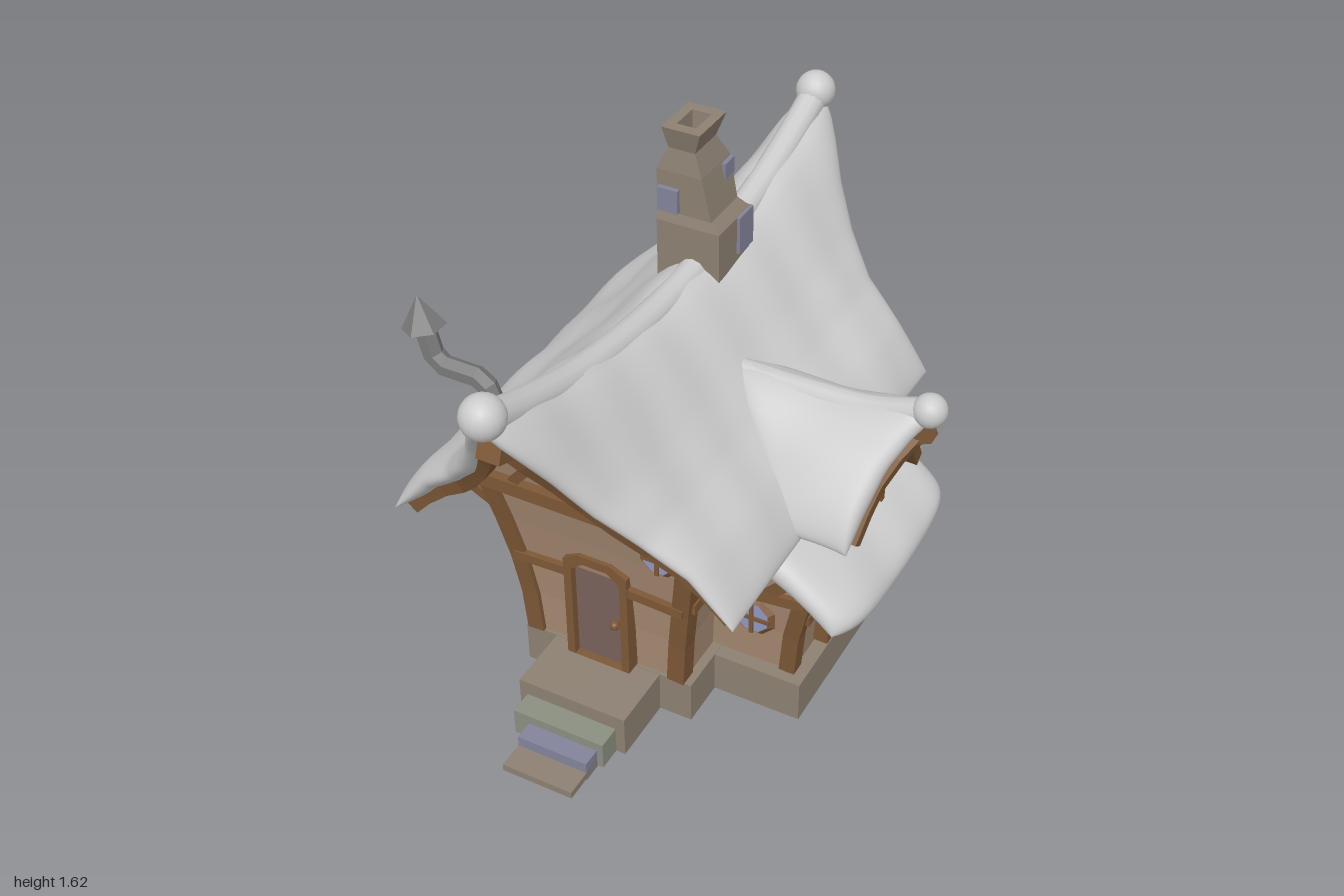
import * as THREE from 'three';
import { mergeVertices } from 'three/addons/utils/BufferGeometryUtils.js';

const V = (x, y, z) => new THREE.Vector3(x, y, z);
const mat = (color, flatShading = true) => new THREE.MeshStandardMaterial({ color, flatShading });
const SNOW = mat(0xcccccc, false), WOOD = mat(0x7d5836), WALL = mat(0xa58a72), STONE = mat(0x8c8072),
  DOOR = mat(0x79615a), GLASS = mat(0x8c98c8), BLUE = mat(0x83849a), MOSS = mat(0x8b8f80), METAL = mat(0x7a7a7a);
const CX = -0.125; // centre line of the main house

function add(parent, name, geo, material) {
  const m = new THREE.Mesh(geo, material);
  m.name = name;
  parent.add(m);
  return m;
}

// linear lookup of one column in a table of rows
function at(rows, v, col) {
  let i = 1;
  while (i < rows.length - 1 && rows[i][0] < v) i++;
  const a = rows[i - 1], b = rows[i];
  const k = THREE.MathUtils.clamp((v - a[0]) / (b[0] - a[0]), 0, 1);
  return a[col] + (b[col] - a[col]) * k;
}

// faceted solid through closed rings, with flat caps
function loft(rings) {
  const p = [], n = rings[0].length, tri = (a, b, c) => p.push(...a, ...b, ...c);
  for (let r = 1; r < rings.length; r++) for (let i = 0; i < n; i++) {
    const a = rings[r - 1], b = rings[r], j = (i + 1) % n;
    tri(a[i], a[j], b[j]);
    tri(a[i], b[j], b[i]);
  }
  const s = rings[0], e = rings[rings.length - 1];
  for (let i = 1; i < n - 1; i++) {
    tri(s[0], s[i + 1], s[i]);
    tri(e[0], e[i], e[i + 1]);
  }
  const g = new THREE.BufferGeometry();
  g.setAttribute('position', new THREE.Float32BufferAttribute(p, 3));
  g.computeVertexNormals();
  return g;
}
const rect = (y, x0, x1, z0, z1) => [V(x0, y, z1), V(x1, y, z1), V(x1, y, z0), V(x0, y, z0)];

// ring frames along a path; n is the side the section faces
function sweep(pts, n, section) {
  return loft(pts.map((p, i) => {
    const t = pts[Math.min(i + 1, pts.length - 1)].clone().sub(pts[Math.max(i - 1, 0)]).normalize();
    const s = n.clone().cross(t).normalize(), m = t.clone().cross(s);
    return section.map(([a, b]) => p.clone().addScaledVector(s, a).addScaledVector(m, b));
  }));
}
function beam(parent, name, pts, n, w = 0.04, d = 0.045) {
  return add(parent, name, sweep(pts, n, [[-w / 2, -d / 2], [w / 2, -d / 2], [w / 2, d / 2], [-w / 2, d / 2]]), WOOD);
}
function box(parent, name, x0, x1, y0, y1, z0, z1, m) {
  add(parent, name, new THREE.BoxGeometry(x1 - x0, y1 - y0, z1 - z0), m)
    .position.set((x0 + x1) / 2, (y0 + y1) / 2, (z0 + z1) / 2);
}

// soft snow slab around the surface f(u, t), rounded off at its edges
function slab(f, th, n = 44, bump = 0.007) {
  const pos = [], idx = [], N = n + 1, e = 0.01;
  for (const side of [1, -1]) for (let j = 0; j <= n; j++) for (let i = 0; i <= n; i++) {
    const u = Math.sin((i / n - 0.5) * Math.PI), t = Math.sin((j / n - 0.5) * Math.PI);
    const du = f(Math.min(u + e, 1), t).sub(f(Math.max(u - e, -1), t));
    const dt = f(u, Math.min(t + e, 1)).sub(f(u, Math.max(t - e, -1)));
    const p = f(u, t), lump = bump * Math.sin(17 * p.z + 5 * p.x) * Math.sin(13 * p.x - 6 * p.z);
    const h = (th + lump) * Math.sqrt(Math.max(0, (1 - u ** 8) * (1 - t ** 10)));
    p.addScaledVector(du.cross(dt).normalize(), side * h);
    pos.push(p.x, p.y, p.z);
    if (i === n || j === n) continue;
    const a = (side < 0 ? N * N : 0) + j * N + i, b = a + 1, c = b + N, d = a + N;
    idx.push(...(side > 0 ? [a, b, c, a, c, d] : [a, c, b, a, d, c]));
  }
  let g = new THREE.BufferGeometry();
  g.setAttribute('position', new THREE.Float32BufferAttribute(pos, 3));
  g.setIndex(idx);
  g = mergeVertices(g, 1e-5);
  g.computeVertexNormals();
  return g;
}

// windows, built facing +z
function gridWindow(parent, name, w, h, cols, rows, pos, ry) {
  const g = new THREE.Group(), b = 0.022;
  g.name = name;
  box(g, 'glass', -w / 2, w / 2, -h / 2, h / 2, -0.02, 0.01, GLASS);
  for (let i = 0; i <= cols; i++) {
    const x = (i / cols - 0.5) * w, k = i % cols ? 0.005 : b / 2;
    box(g, 'upright', x - k, x + k, -h / 2 - b / 2, h / 2 + b / 2, -0.02, i % cols ? 0.016 : 0.025, WOOD);
  }
  for (let i = 0; i <= rows; i++) {
    const y = (i / rows - 0.5) * h, k = i % rows ? 0.005 : b / 2;
    box(g, 'crossbar', -w / 2, w / 2, y - k, y + k, -0.02, i % rows ? 0.016 : 0.025, WOOD);
  }
  g.position.copy(pos);
  g.rotation.y = ry;
  parent.add(g);
}
function octagonWindow(parent, r, pos, ry) {
  const g = new THREE.Group();
  g.name = 'octagonWindow';
  add(g, 'glass', new THREE.CylinderGeometry(r, r, 0.03, 8).rotateY(Math.PI / 8).rotateX(Math.PI / 2), GLASS);
  add(g, 'frame', new THREE.TorusGeometry(r, 0.017, 4, 8).rotateZ(Math.PI / 8), WOOD);
  box(g, 'upright', -0.006, 0.006, -r, r, 0, 0.022, WOOD);
  box(g, 'crossbar', -r, r, -0.006, 0.006, 0, 0.022, WOOD);
  g.position.copy(pos);
  g.rotation.y = ry;
  parent.add(g);
}

// main house rows: height, half width, front depth
const BODY = [[.15, .26, .42], [.3, .27, .425], [.45, .29, .44], [.6, .315, .465], [.77, .345, .5], [.85, .28, .52],
  [.95, .205, .54], [1.05, .13, .555], [1.13, .06, .57], [1.19, .01, .575]];
// wing and dormer rows: height, half width in z, outer x
const WING = [[.15, .255, .4], [.3, .265, .415], [.45, .285, .45], [.6, .3, .455]];
const DORMER = [[.48, .14, .455], [.57, .155, .47], [.77, .185, .5], [.86, .12, .51], [.95, .05, .52], [1, .01, .53]];
// roof rows: distance from ridge, reach of rim, height inside, height at rim
const ROOF = [[0, .97, 1.17, 1.385], [.06, .93, 1.13, 1.3], [.13, .84, 1.06, 1.16], [.2, .78, .985, 1.04],
  [.3, .71, .89, .92], [.42, .67, .8, .82], [.54, .655, .685, .675]];
const CAP = [[0, .69, .985, 1.05], [.06, .64, .95, .98], [.12, .6, .89, .9], [.2, .575, .79, .79], [.27, .56, .7, .69]];

function roofAt(u, t) {
  const s = Math.abs(u) * 0.54, y = at(ROOF, s, 2);
  return V(CX + u * 0.54, y + (at(ROOF, s, 3) - y) * t * t, -t * at(ROOF, s, 1));
}
function capAt(u, t) {
  const s = Math.abs(u) * 0.27, k = (t + 1) / 2, x0 = 0.04 + 1.25 * s, y = at(CAP, s, 2);
  return V(x0 + (at(CAP, s, 1) - x0) * k, y + (at(CAP, s, 3) - y) * Math.max(0, t) ** 2, -0.01 + u * 0.27);
}
function ledgeAt(u, t) {
  const k = (t + 1) / 2;
  return V(0.2 + k * 0.42 - 0.05 * k * u ** 6, 0.69 - 0.07 * k - 0.15 * k * k - 0.03 * Math.cos(u * Math.PI / 2), -0.01 + u * 0.365);
}
const wallPoint = (x, y, sg, off = 0) => V(x, y, sg * (at(BODY, y, 2) + off));

function ridgeRoll(parent, name, pts, r, endR, ends) {
  add(parent, name, new THREE.TubeGeometry(new THREE.CatmullRomCurve3(pts), 40, r, 12), SNOW);
  for (const p of ends) add(parent, name + 'End', new THREE.SphereGeometry(endR, 18, 12), SNOW).position.copy(p);
}

export function createModel() {
  const house = new THREE.Group();
  house.name = 'cottage';

  // foundation and steps
  box(house, 'foundation', -.4, .165, .01, .15, -.46, .43, STONE);
  box(house, 'wingFoundation', .1, .445, .01, .149, -.32, .28, STONE);
  box(house, 'landing', -.295, .06, .01, .148, .4, .64, STONE);
  box(house, 'upperStep', -.27, .03, .01, .1, .6, .715, MOSS);
  box(house, 'middleStep', -.22, .01, .005, .07, .65, .775, BLUE);
  box(house, 'lowerStep', -.22, .01, .012, .035, .7, .86, STONE);

  // walls
  add(house, 'mainWalls', loft(BODY.map(([y, w, z]) => rect(y, CX - w, CX + w, -z, z))), WALL);
  add(house, 'wingWalls', loft(WING.map(([y, w, x]) => rect(y, .05, x, -.02 - w, -.02 + w))), WALL);
  add(house, 'dormerWalls', loft(DORMER.map(([y, w, x]) => rect(y, .12, x, -.01 - w, -.01 + w))), WALL);

  // timber of the two gable ends
  for (const sg of [1, -1]) {
    const n = V(0, 0, sg), line = (name, pts, w, d) => beam(house, name, pts.map(([x, y]) => wallPoint(CX + x, y, sg)), n, w, d);
    line('gableBeam', [[-.39, .78], [.39, .78]], .045, .07);
    line('collarBeam', [[-.2, .92], [.2, .92]], .035);
    line('upperCollar', [[-.1, 1.085], [.1, 1.085]], .03);
    gridWindow(house, 'gableWindow', .09, .11, 2, 2, wallPoint(CX - .01, 1, sg, .005), sg > 0 ? 0 : Math.PI);
    for (const m of [1, -1]) {
      beam(house, 'cornerPost', BODY.slice(0, 5).map(([y, w, z]) => V(CX + m * (w - .02), y, sg * (z - .015))), n, .055, .06);
      line('gableBrace', [[m * .22, .8], [m * .13, .91]], .03);
      line('gableStud', [[m * .075, .92], [m * .075, 1.08]], .025);
      line('middleRail', sg > 0 ? [[m * .1, .465], [m * .28, .455]] : [[m * .28, .42], [0, .43]], .03);
      beam(house, 'bargeBoard', [0, .1, .2, .3, .42, .55, .7, .85, .95].map(u => {
        const p = roofAt(m * u, -sg * .9);
        return p.setY(p.y - .075 + .03 * u);
      }), n, .05, .045);
      beam(house, 'eaveStrut', [V(CX + m * .32, .65, sg * .47), V(CX + m * .45, .76, sg * .5)], n, .03, .03);
    }
    beam(house, 'ridgeBeam', [.4, .6, .8, .95].map(t => roofAt(0, -sg * t).add(V(0, -.085, 0))), V(0, 1, 0), .07, .07);
  }
  gridWindow(house, 'backWindow', .21, .24, 4, 4, wallPoint(CX, .58, -1, .005), Math.PI);
  octagonWindow(house, .05, wallPoint(.1, .67, 1, .005), 0);

  // timber of the long walls
  for (const m of [1, -1]) {
    beam(house, 'eaveBeam', [V(CX + m * .37, .775, -.57), V(CX + m * .37, .775, .57)], V(m, 0, 0), .05, .05);
    beam(house, 'sideRail', [V(CX + m * .293, .47, -.44), V(CX + m * .293, .47, .44)], V(m, 0, 0), .035, .035);
  }
  for (const z of [-.28, .17]) octagonWindow(house, .05, V(CX - .278, .32, z), -Math.PI / 2);

  // arched door
  const arch = (w, h) => new THREE.Shape([[-w, 0], [w, 0], [w, h - .03], [w * .5, h], [-w * .5, h], [-w, h - .03]].map(p => new THREE.Vector2(...p)));
  const frame = arch(.105, .4);
  frame.holes.push(arch(.08, .37));
  const place = (name, shape, depth, m) => add(house, name, new THREE.ExtrudeGeometry(shape, { depth, bevelEnabled: false }), m).position.set(CX, .15, .415);
  place('door', arch(.085, .375), .03, DOOR);
  place('doorFrame', frame, .055, WOOD);
  add(house, 'doorKnob', new THREE.SphereGeometry(.016, 8, 6), WOOD).position.set(-.073, .31, .455);

  // wing timber and windows
  for (const sg of [1, -1]) {
    const n = V(0, 0, sg), side = ([x, y]) => V(x, y, -.02 + sg * at(WING, y, 1));
    beam(house, 'wingPost', WING.map(([y, w, x]) => V(x - .015, y, -.02 + sg * (w - .015))), n, .05, .05);
    beam(house, 'wingRail', [[.13, .43], [.3, .45], [.45, .47]].map(side), n, .035, .04);
    beam(house, 'wingBrace', [[.16, .46], [.27, .6]].map(side), n, .035, .035);
    beam(house, 'wingBrace', [[.33, .46], [.42, .56]].map(side), n, .035, .035);
    beam(house, 'wingSideRail', [V(.435, .39, -.02 + sg * .13), V(.435, .385, -.02 + sg * .27)], V(1, 0, 0), .035, .04);
    beam(house, 'dormerPost', DORMER.slice(0, 3).map(([y, w, x]) => V(x - .01, y, -.01 + sg * (w - .01))), V(1, 0, 0), .04, .045);
    beam(house, 'dormerBargeBoard', [0, .2, .4, .6, .8].map(u => capAt(sg * u, .85).add(V(0, -.075, 0))), V(1, 0, 0), .04, .04);
  }
  octagonWindow(house, .057, V(.28, .345, .254), 0);
  gridWindow(house, 'wingWindow', .22, .25, 4, 4, V(.425, .305, -.02), Math.PI / 2);
  gridWindow(house, 'dormerWindow', .18, .16, 4, 3, V(.49, .665, -.015), Math.PI / 2);
  beam(house, 'dormerBeam', [V(.505, .765, -.21), V(.505, .765, .19)], V(1, 0, 0), .03, .05);
  beam(house, 'dormerSill', [V(.475, .575, -.17), V(.475, .575, .15)], V(1, 0, 0), .03, .05);
  beam(house, 'dormerRidgeBeam', [V(.45, .91, -.01), V(.58, .94, -.01), V(.68, .985, -.01)], V(0, 1, 0), .05, .05);

  // boards and snow on the roofs
  add(house, 'roofBoards', slab((u, t) => roofAt(u * .95, t * .92).add(V(0, -.055, 0)), .018, 24, 0), WOOD);
  add(house, 'roofSnow', slab(roofAt, .047, 64), SNOW);
  add(house, 'dormerSnow', slab(capAt, .042), SNOW);
  add(house, 'wingSnow', slab(ledgeAt, .062), SNOW);
  const ridge = t => roofAt(0, t).add(V(0, .008, 0));
  ridgeRoll(house, 'ridgeSnow', [-.97, -.8, -.5, 0, .5, .8, .97].map(ridge), .045, .062, [V(CX, 1.388, .935), V(CX, 1.388, -.935)]);
  ridgeRoll(house, 'dormerRidgeSnow', [-.9, -.2, .4, .95].map(t => capAt(0, t).add(V(0, .004, 0))), .04, .05, [V(.67, 1.052, -.01)]);

  // crooked chimney, hollow at the top
  add(house, 'chimney', loft([[1.08, -.14, -.225, .1, .095], [1.33, -.14, -.225, .1, .095], [1.36, -.155, -.22, .085, .08],
    [1.49, -.172, -.225, .072, .085], [1.56, -.168, -.213, .042, .062], [1.63, -.162, -.213, .06, .08],
    [1.63, -.162, -.213, .03, .045], [1.54, -.165, -.213, .025, .04]]
    .map(([y, x, z, w, d]) => rect(y, x - w, x + w, z - d, z + d))), STONE);
  box(house, 'chimneyStone', -.235, -.17, 1.365, 1.44, -.2, -.125, BLUE);
  box(house, 'chimneyStone', -.13, -.03, 1.21, 1.33, -.325, -.24, BLUE);
  box(house, 'chimneyStone', -.14, -.085, 1.435, 1.485, -.31, -.255, BLUE);

  // bent stove pipe with a pointed cap
  const hex = Array.from({ length: 6 }, (_, i) => [.032 * Math.cos(i * Math.PI / 3), .032 * Math.sin(i * Math.PI / 3)]);
  add(house, 'stovePipe', sweep([V(-.43, .9, .42), V(-.48, 1.02, .42), V(-.51, 1.04, .42), V(-.61, 1.05, .43), V(-.645, 1.08, .43), V(-.67, 1.18, .43)], V(0, 0, 1), hex), METAL);
  const tip = add(house, 'pipeCap', new THREE.ConeGeometry(.065, .1, 6), METAL);
  tip.position.set(-.675, 1.215, .43);
  tip.rotation.z = .15;
  return house;
}
